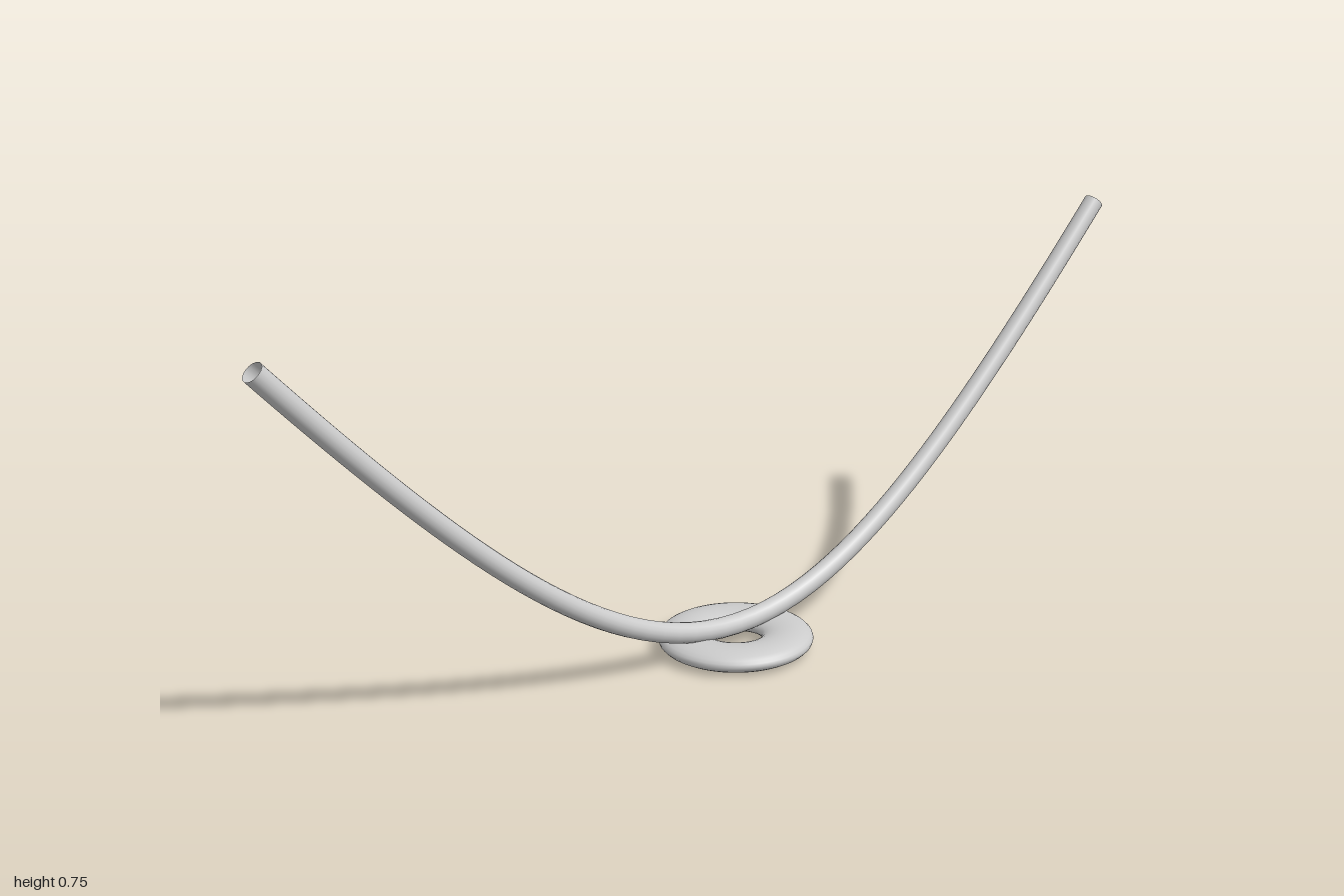
import * as THREE from 'three';

export function createModel() {
  const model = new THREE.Group();
  const material = new THREE.MeshStandardMaterial({ color: 0xcccccc, side: THREE.DoubleSide });

  // Curved rod: open-ended tube swept along a shallow U
  const path = new THREE.CubicBezierCurve3(
    new THREE.Vector3(-0.985, 0.742, 0),
    new THREE.Vector3(-0.126, -0.181, 0),
    new THREE.Vector3(0.126, -0.181, 0),
    new THREE.Vector3(0.985, 0.742, 0)
  );
  const rod = new THREE.Mesh(new THREE.TubeGeometry(path, 64, 0.02, 16, false), material);
  rod.name = 'curvedRod';
  model.add(rod);

  // Base ring: a torus lying flat, squashed in height
  const ringGeometry = new THREE.TorusGeometry(0.1, 0.05, 24, 64);
  ringGeometry.rotateX(-Math.PI / 2);
  ringGeometry.scale(1, 0.44, 1);
  ringGeometry.translate(0, 0.023, 0);
  const ring = new THREE.Mesh(ringGeometry, material);
  ring.name = 'baseRing';
  model.add(ring);

  return model;
}
